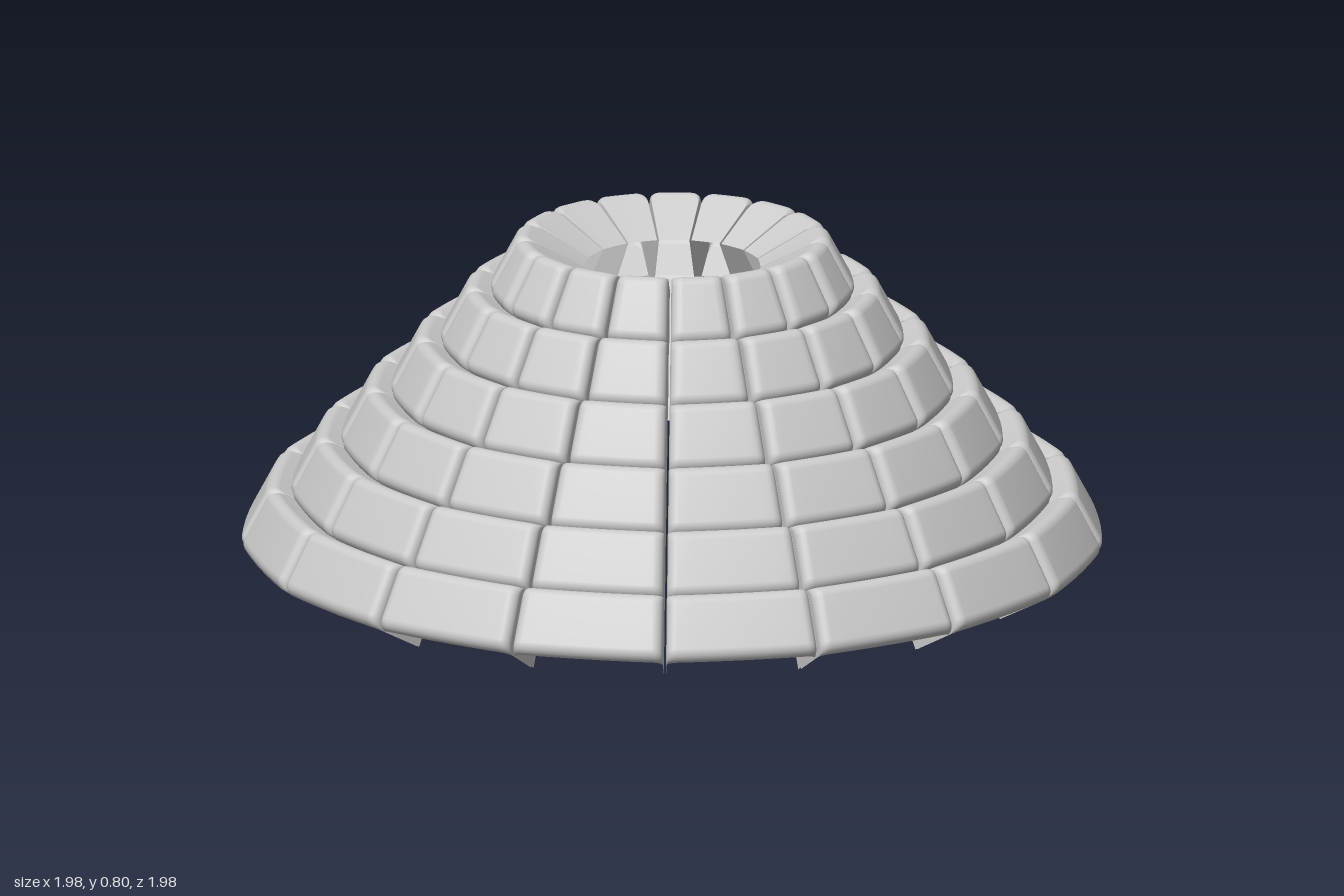
import * as THREE from 'three';

const SEGMENTS = 17, RINGS = 6;
const HALF = Math.PI / SEGMENTS;   // half angle of one tile
const DEPTH = 0.172;               // how far the flanges reach inwards
const LENGTH = 0.158;              // tile length down the slope
const GAP = 0.004;                 // half the joint between neighbours
const FILLET = 0.026;
const SLOPE = { r: 0.47, y: -0.883 };     // down the face
const INWARD = { r: -0.883, y: -0.47 };   // into the shell

// rounded edge turning from the flange onto the face: [distance from edge, depth]
function edgePath(flange) {
  const pts = flange ? [[0, DEPTH], [0, 0.1]] : [];
  for (let i = 0; i <= 5; i++) {
    const a = (i / 5) * Math.PI / 2;
    pts.push([FILLET * (1 - Math.cos(a)), FILLET * (1 - Math.sin(a))]);
  }
  return pts;
}

// one hollow tile: curved face, side flanges and top flange, open below
function tileGeometry(topR, topY) {
  const side = edgePath(true);
  const across = [
    ...side.map(([s, d]) => ({ edge: -1, s, d })),
    ...[-0.6, -0.2, 0.2, 0.6].map(f => ({ edge: 0, f, d: 0 })),
    ...side.slice().reverse().map(([s, d]) => ({ edge: 1, s, d })),
  ];
  const down = [
    ...side.map(([s, d]) => ({ s, d })),
    { s: LENGTH / 2, d: 0 },
    ...edgePath(false).reverse().map(([s, d]) => ({ s: LENGTH - s, d })),
  ];
  const pos = [], index = [], n = down.length;
  for (const u of across) {
    for (const v of down) {
      const faceR = topR + SLOPE.r * v.s;
      const half = HALF - GAP / faceR;
      const phi = u.edge ? u.edge * (half - u.s / faceR) : u.f * half;
      const depth = Math.min(DEPTH, u.d + v.d);
      // blend of arc and chord, so each tile is a little flatter than a circle
      const flat = 0.5 + 0.5 * Math.cos(HALF) / Math.cos(phi);
      const r = (faceR + INWARD.r * depth) * flat;
      pos.push(r * Math.sin(phi), topY + SLOPE.y * v.s + INWARD.y * depth, r * Math.cos(phi));
    }
  }
  for (let i = 0; i < across.length - 1; i++) {
    for (let j = 0; j < n - 1; j++) {
      const a = i * n + j, b = a + 1, c = a + n, d = c + 1;
      index.push(a, b, c, b, d, c);
    }
  }
  const geo = new THREE.BufferGeometry();
  geo.setAttribute('position', new THREE.Float32BufferAttribute(pos, 3));
  geo.setIndex(index);
  geo.computeVertexNormals();
  return geo;
}

export function createModel() {
  const model = new THREE.Group();
  model.name = 'tieredShade';
  const material = new THREE.MeshStandardMaterial({ color: 0xcccccc, side: THREE.DoubleSide });

  // stepped rings from the top opening down to the rim
  for (let k = 0; k < RINGS; k++) {
    const ring = new THREE.Group();
    ring.name = `ring${k + 1}`;
    const geo = tileGeometry(0.355 + 0.1148 * k, 0.812 - 0.1184 * k);
    for (let i = 0; i < SEGMENTS; i++) {
      const tile = new THREE.Mesh(geo, material);
      tile.name = 'tile';
      tile.rotation.y = i * 2 * HALF;
      ring.add(tile);
    }
    model.add(ring);
  }
  return model;
}
